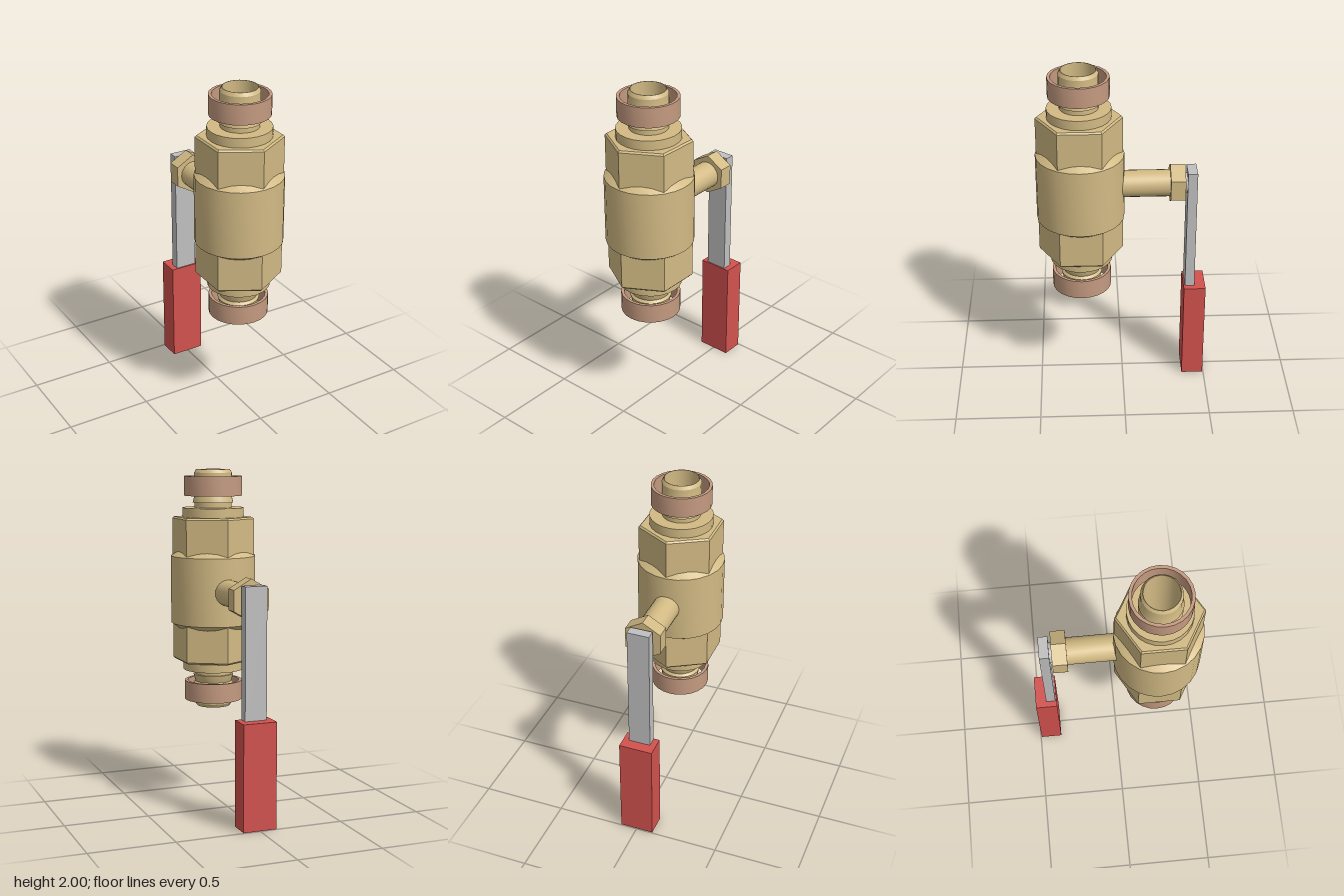
import * as THREE from 'three';
import { toCreasedNormals } from 'three/addons/utils/BufferGeometryUtils.js';

const CENTRE_Y = 1.29, AXIS_Z = 0.24;

const material = (name, color) => {
  const m = new THREE.MeshStandardMaterial({ color });
  m.name = name;
  return m;
};

// Turned part from [radius, height] points, outside upwards
function turned(points, sides = 24) {
  const profile = points.map(([r, y]) => new THREE.Vector2(r, y));
  return toCreasedNormals(new THREE.LatheGeometry(profile, sides), sides > 6 ? 0.45 : 0.1);
}

// Hollow turned part: outer points upwards, closed by a straight bore
function hollow(points, bore, sides = 24) {
  const low = points[0], high = points[points.length - 1];
  return turned([[bore, low[1]], ...points, [bore, high[1]], [bore, low[1]]], sides);
}

export function createModel() {
  const model = new THREE.Group();
  model.name = 'leverValve';
  const brass = material('brass', 0xd2ba84);
  const copper = material('copper', 0xc49a80);
  const steel = material('steel', 0xc0c0c0);
  const red = material('red', 0xd2524e);

  const add = (parent, name, geometry, mat) => {
    const mesh = new THREE.Mesh(geometry, mat);
    mesh.name = name;
    parent.add(mesh);
    return mesh;
  };
  const box = (name, w, y0, y1, z0, z1, mat) =>
    add(model, name, new THREE.BoxGeometry(w, y1 - y0, z1 - z0), mat)
      .position.set(0, (y0 + y1) / 2, (z0 + z1) / 2);

  // Vertical body, measured from its middle
  const body = new THREE.Group();
  body.name = 'valveBody';
  body.position.set(0, CENTRE_Y, AXIS_Z);
  model.add(body);
  add(body, 'barrel', hollow(
    [[0.2, -0.237], [0.253, -0.2], [0.253, 0.2], [0.2, 0.237]], 0.14), brass);

  // Matching fittings at both ends
  for (const [side, turn] of [['upper', 0], ['lower', Math.PI]]) {
    const end = new THREE.Group();
    end.name = side + 'Fitting';
    end.rotation.z = turn;
    body.add(end);
    add(end, 'hexagon', hollow([[0.246, 0.1], [0.246, 0.42], [0.236, 0.43]], 0.14, 6), brass);
    add(end, 'collar', hollow([[0.182, 0.41], [0.182, 0.485]], 0.1), brass);
    // Ribbed pipe with a rounded lip
    add(end, 'pipe', hollow([
      [0.11, 0], [0.11, 0.515], [0.121, 0.515], [0.112, 0.55],
      [0.108, 0.56], [0.121, 0.575], [0.112, 0.61], [0.112, 0.69], [0.1, 0.71],
    ], 0.097), brass);
    add(end, 'sleeve', hollow([[0.173, 0.555], [0.173, 0.67]], 0.155), copper);
  }

  // Stem pointing backwards
  const stem = new THREE.Group();
  stem.name = 'stem';
  stem.position.y = CENTRE_Y;
  stem.rotation.x = -Math.PI / 2;
  model.add(stem);
  add(stem, 'stemTube', turned([[0, -0.05], [0.078, -0.05], [0.078, 0.28], [0, 0.28]]), brass);
  add(stem, 'stemNut', turned([[0, 0.275], [0.12, 0.275], [0.12, 0.36], [0, 0.36]], 6), brass);
  add(stem, 'spindle', turned([[0, 0.35], [0.058, 0.35], [0.058, 0.38], [0, 0.38]]), steel);

  // Lever and grip
  box('lever', 0.13, 0.5, 1.375, -0.43, -0.374, steel);
  box('grip', 0.2, 0, 0.62, -0.495, -0.366, red);

  return model;
}
